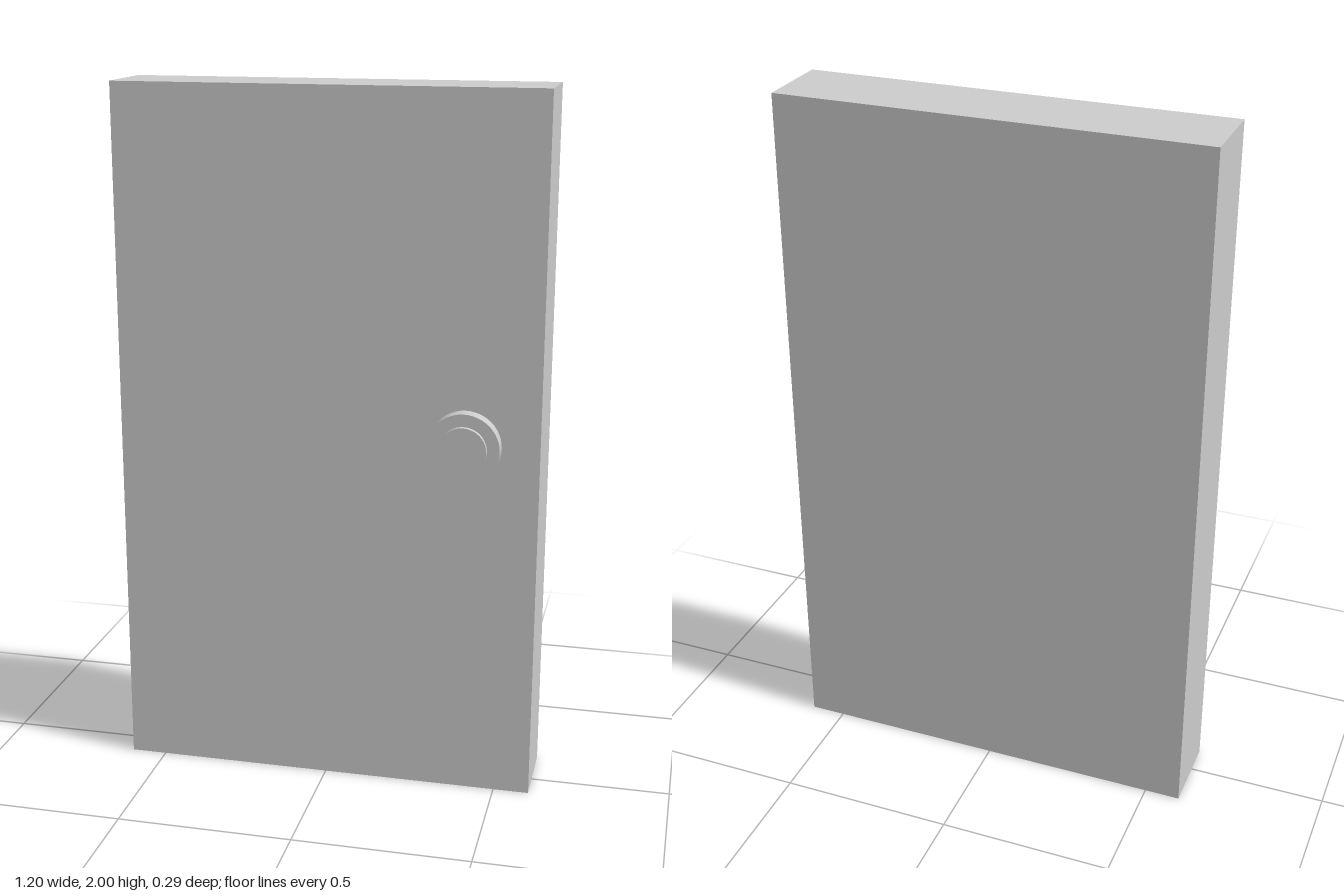
import * as THREE from 'three';

export function createModel() {
  const model = new THREE.Group();
  const material = new THREE.MeshStandardMaterial({ color: 0xcccccc });
  const front = 0.088, back = -0.144;

  // Plain door slab
  const slab = new THREE.Mesh(new THREE.BoxGeometry(1.204, 2, front - back), material);
  slab.name = 'doorSlab';
  slab.position.set(0, 1, (front + back) / 2);
  model.add(slab);

  // Stepped round knob: wide base disc, smaller cap
  const knob = new THREE.Group();
  knob.name = 'knob';
  knob.position.set(0.395, 1.033, front);
  const addDisc = (name, radius, z0, z1) => {
    const geometry = new THREE.CylinderGeometry(radius, radius, z1 - z0, 48).rotateX(Math.PI / 2);
    const disc = new THREE.Mesh(geometry, material);
    disc.name = name;
    disc.position.z = (z0 + z1) / 2;
    knob.add(disc);
  };
  addDisc('knobBase', 0.101, 0, 0.042);
  addDisc('knobCap', 0.066, 0.042, 0.056);
  model.add(knob);

  return model;
}
